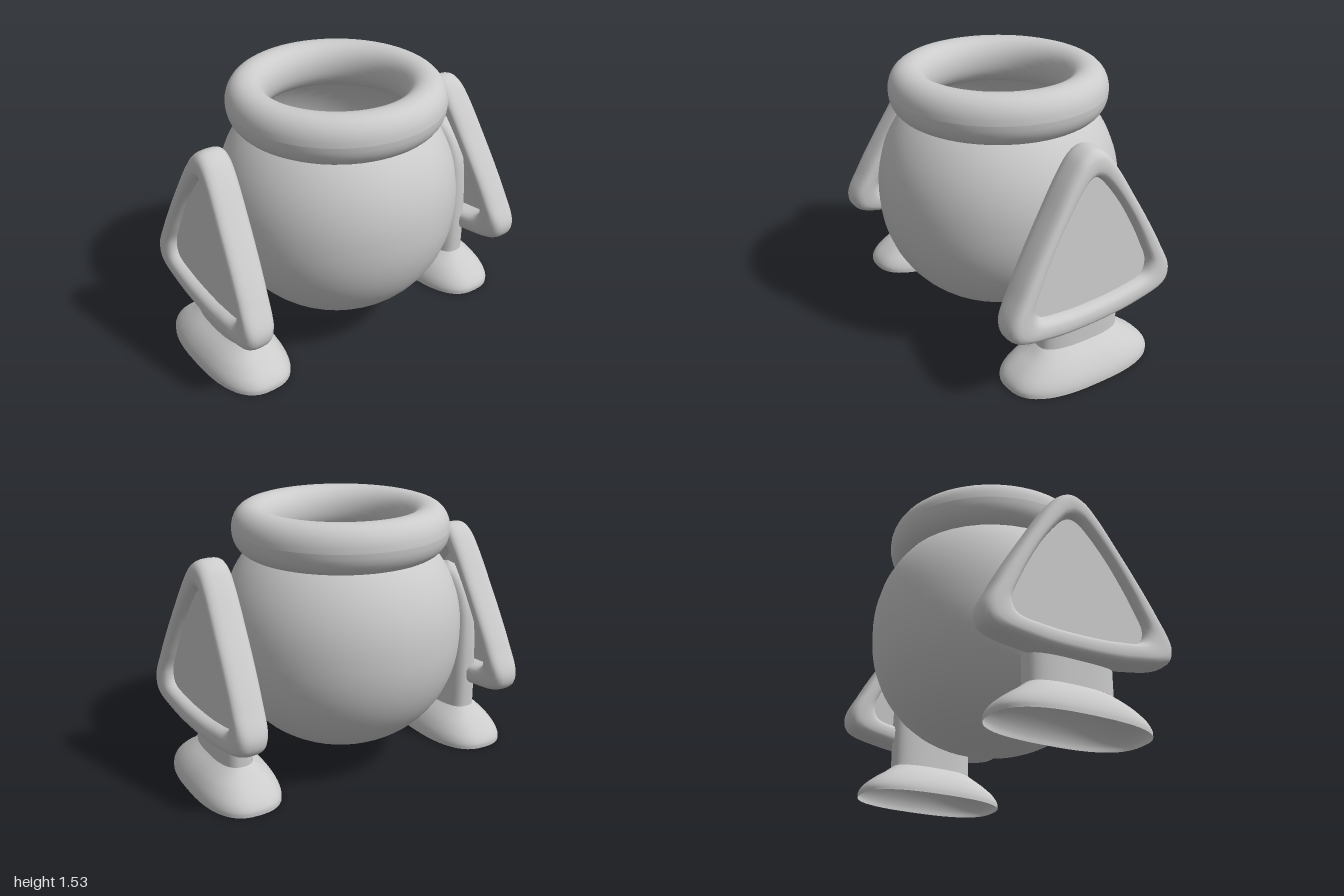
import * as THREE from 'three';

const grey = new THREE.MeshStandardMaterial({ color: 0xcccccc, side: THREE.DoubleSide });

function part(name, geometry) {
  const mesh = new THREE.Mesh(geometry, grey);
  mesh.name = name;
  return mesh;
}

// Point on a rounded oval with half-widths 1; a higher power is squarer
function roundOval(angle, power) {
  const f = (v) => Math.sign(v) * Math.abs(v) ** (2 / power);
  return [f(Math.cos(angle)), f(Math.sin(angle))];
}

// Smooth skin over a list of closed cross-sections
function loft(rings, closed = false) {
  const n = rings[0].length, index = [];
  const count = closed ? rings.length : rings.length - 1;
  for (let j = 0; j < count; j++) {
    for (let i = 0; i < n; i++) {
      const k = (i + 1) % n, next = ((j + 1) % rings.length) * n;
      const a = j * n + i, b = j * n + k, c = next + i, d = next + k;
      index.push(a, c, b, b, c, d);
    }
  }
  const geometry = new THREE.BufferGeometry();
  geometry.setAttribute('position', new THREE.Float32BufferAttribute(rings.flat(2), 3));
  geometry.setIndex(index);
  geometry.computeVertexNormals();
  return geometry;
}

// Upright column from rows of [y, centre x, half-width x, half-width z]
function column(rows, power, steps) {
  const curve = (k) => new THREE.CatmullRomCurve3(rows.map((r) => new THREE.Vector3(r[0], r[k], 0)));
  const curves = [1, 2, 3].map(curve);
  const rings = [];
  for (let j = 0; j <= steps; j++) {
    const [c, hx, hz] = curves.map((q) => q.getPoint(j / steps));
    const ring = [];
    for (let i = 0; i < 48; i++) {
      const [u, v] = roundOval((i / 48) * Math.PI * 2, power);
      ring.push([c.y + hx.y * u, c.x, hz.y * v]);
    }
    rings.push(ring);
  }
  return loft(rings);
}

// Closed outline in (z, y), mirrored from its half: top centre to bottom centre
function outline(half) {
  const other = half.slice(1, -1).reverse().map(([z, y]) => [-z, y]);
  const points = [...half, ...other].map(([z, y]) => new THREE.Vector3(z, y, 0));
  return new THREE.CatmullRomCurve3(points, true, 'centripetal');
}

const outer = outline([[0, 1.32], [0.07, 1.292], [0.145, 1.205], [0.275, 1.0], [0.385, 0.82],
  [0.48, 0.65], [0.552, 0.49], [0.525, 0.41], [0.31, 0.353], [0, 0.334]]);
const inner = outline([[0, 1.162], [0.045, 1.145], [0.1, 1.09], [0.19, 0.97], [0.27, 0.835],
  [0.337, 0.7], [0.383, 0.575], [0.355, 0.502], [0.19, 0.468], [0, 0.46]]);

// The shield leans outward towards its foot and its front edge (yaw)
const shieldX = (y, z, yaw) => 0.8 + (1.32 - y) * 0.06 + yaw * z;

function shieldFrame(yaw) {
  const rings = [];
  for (let j = 0; j < 144; j++) {
    const o = outer.getPoint(j / 144), p = inner.getPoint(j / 144);
    const ring = [];
    for (let i = 0; i < 24; i++) {
      const [u, v] = roundOval((i / 24) * Math.PI * 2, 2.8);
      const q = p.clone().lerp(o, (u + 1) / 2);
      ring.push([shieldX(q.y, q.x, yaw) + 0.092 * v, q.y, q.x]);
    }
    rings.push(ring);
  }
  return loft(rings, true);
}

function shieldPanel(yaw) {
  const points = inner.getPoints(90).slice(0, -1)
    .map((p) => new THREE.Vector2(p.x * 1.05, 0.7 + (p.y - 0.7) * 1.05));
  const geometry = new THREE.ShapeGeometry(new THREE.Shape(points));
  const pos = geometry.attributes.position;
  for (let i = 0; i < pos.count; i++) {
    const z = pos.getX(i), y = pos.getY(i);
    pos.setXYZ(i, shieldX(y, z, yaw) + 0.035, y, z);
  }
  geometry.computeVertexNormals();
  return geometry;
}

export function createModel() {
  const model = new THREE.Group();
  model.name = 'pot';

  // Hollow, slightly full round body, open under the rim
  const bowl = [];
  for (let i = 0; i <= 32; i++) {
    const [u, v] = roundOval(-Math.PI / 2 + (i / 32) * 2.35, 2.15);
    bowl.push(new THREE.Vector2(Math.max(0, 0.692 * u), 0.802 + 0.682 * v));
  }
  model.add(part('body', new THREE.LatheGeometry(bowl, 40)));

  // Thick rolled rim
  const profile = [];
  for (let i = 0; i <= 32; i++) {
    const [u, v] = roundOval((i / 32) * Math.PI * 2, 2.1);
    profile.push(new THREE.Vector2(0.498 + 0.114 * u, 1.393 + 0.137 * v));
  }
  model.add(part('rim', new THREE.LatheGeometry(profile, 64)));

  // Foot, leg and shield on each side
  for (const side of ['left', 'right']) {
    const limb = new THREE.Group();
    limb.name = side + 'Limb';
    const x = 0.765, yaw = side === 'left' ? 0.048 : -0.048;
    limb.add(part('foot', column([[0, x, 0.235, 0.45], [0.03, x, 0.233, 0.45], [0.07, x, 0.22, 0.425],
      [0.12, x, 0.19, 0.365], [0.16, x, 0.154, 0.305], [0.2, x, 0.105, 0.255]], 2.6, 16)));
    limb.add(part('leg', column([[0.2, x, 0.105, 0.255], [0.45, x, 0.103, 0.255], [0.7, 0.762, 0.092, 0.25],
      [0.85, 0.758, 0.083, 0.235], [0.96, 0.758, 0.075, 0.195], [1.04, 0.762, 0.062, 0.125],
      [1.08, 0.768, 0.001, 0.001]], 2.7, 36)));
    limb.add(part('shieldFrame', shieldFrame(yaw)), part('shieldPanel', shieldPanel(yaw)));
    if (side === 'right') limb.rotation.y = Math.PI;
    model.add(limb);
  }
  return model;
}
